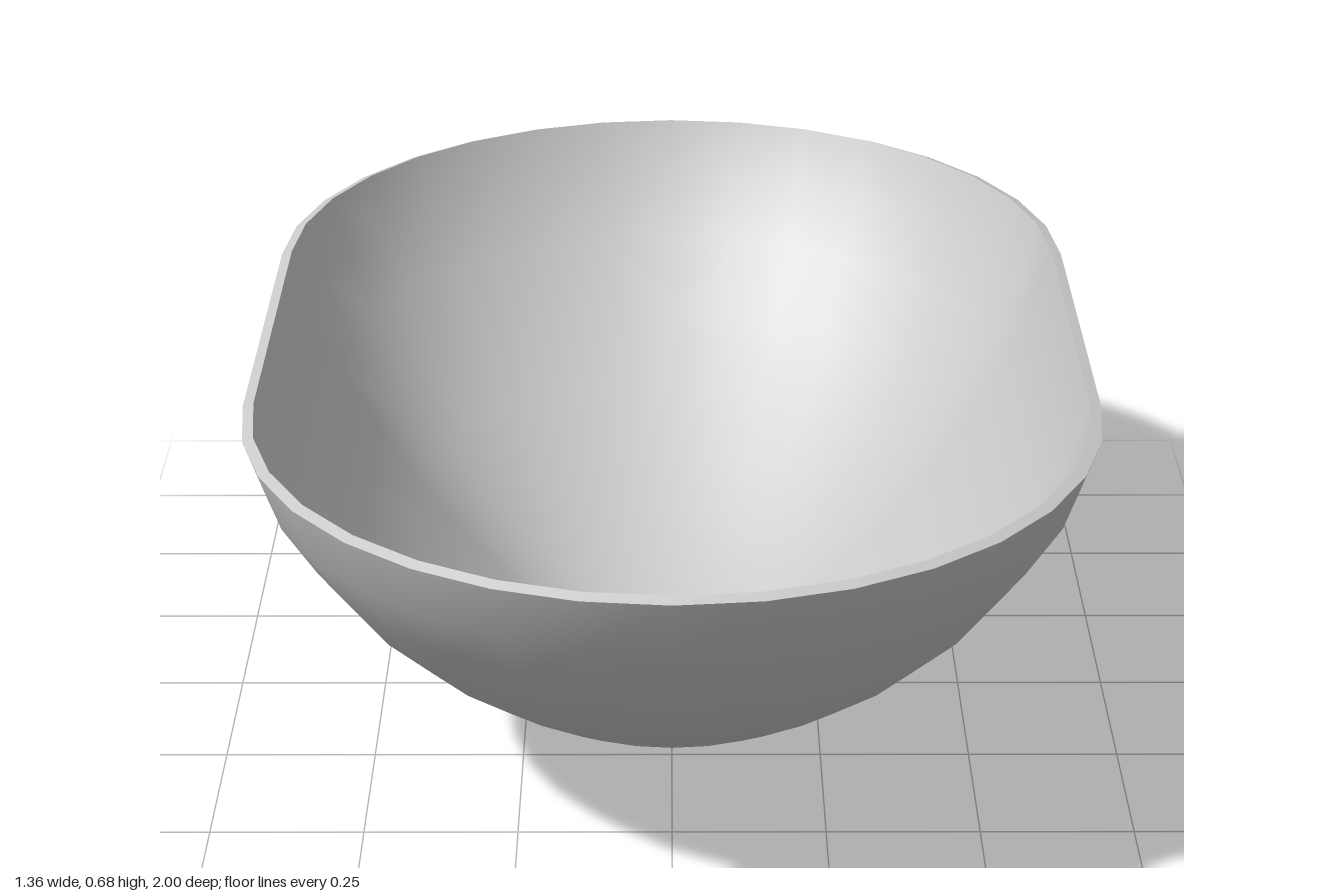
import * as THREE from 'three';

const HALF_LENGTH = 0.32;   // half of the straight side
const RADIUS = 0.68;        // round ends
const THICKNESS = 0.018;
const ARC_STEPS = 16;

// Wall profile: [scale of the outline, height]
const PROFILE = [
  [0, 0], [0.11, 0.008], [0.218, 0.03], [0.326, 0.067], [0.439, 0.122], [0.55, 0.19],
  [0.67, 0.273], [0.784, 0.37], [0.881, 0.478], [0.956, 0.576], [1, 0.677],
];

// Angles round the outline: two half circles joined by straight sides
const OUTLINE = [];
for (const end of [1, -1]) {
  for (let i = 0; i <= ARC_STEPS; i++) {
    const a = Math.PI * (i / ARC_STEPS - 0.5) + (end < 0 ? Math.PI : 0);
    OUTLINE.push({ end, sin: Math.sin(a), cos: Math.cos(a) });
  }
}

// One ring of the wall: positions and outward normals
function ring(row) {
  const [t, y] = PROFILE[row];
  const before = PROFILE[Math.max(row - 1, 0)];
  const after = PROFILE[Math.min(row + 1, PROFILE.length - 1)];
  const slope = (after[1] - before[1]) / (after[0] - before[0]);
  return OUTLINE.map(({ end, sin, cos }) => {
    const lean = (RADIUS + HALF_LENGTH * end * cos) / slope;
    const normal = row === 0
      ? new THREE.Vector3(0, -1, 0)
      : new THREE.Vector3(sin, -lean, cos).normalize();
    const point = new THREE.Vector3(RADIUS * t * sin, y, t * (HALF_LENGTH * end + RADIUS * cos));
    return { point, normal };
  });
}

// Skin a list of closed rings; normals are supplied or computed
function skin(rings, flip = false, normals = null) {
  const n = OUTLINE.length;
  const index = [];
  for (let i = 0; i < rings.length - 1; i++) {
    for (let j = 0; j < n; j++) {
      const a = i * n + j, b = i * n + (j + 1) % n, c = b + n, d = a + n;
      if (flip) index.push(a, c, b, a, d, c);
      else index.push(a, b, c, a, c, d);
    }
  }
  const geometry = new THREE.BufferGeometry().setFromPoints(rings.flat());
  geometry.setIndex(index);
  if (normals) {
    const flat = normals.flat().flatMap((v) => v.toArray());
    geometry.setAttribute('normal', new THREE.Float32BufferAttribute(flat, 3));
  } else geometry.computeVertexNormals();
  return geometry;
}

export function createModel() {
  const group = new THREE.Group();
  group.name = 'bowl';
  const material = new THREE.MeshStandardMaterial({ color: 0xcccccc });
  const add = (name, geometry) => {
    const mesh = new THREE.Mesh(geometry, material);
    mesh.name = name;
    group.add(mesh);
  };

  const rows = PROFILE.map((_, row) => ring(row));
  const outer = rows.map((r) => r.map((v) => v.point));
  const outerNormals = rows.map((r) => r.map((v) => v.normal));
  const inner = rows.map((r) => r.map((v) => v.point.clone().addScaledVector(v.normal, -THICKNESS)));
  const innerNormals = outerNormals.map((r) => r.map((v) => v.clone().negate()));

  add('outerWall', skin(outer, false, outerNormals));
  add('innerWall', skin(inner, true, innerNormals));
  // Rim joins the two walls
  add('rim', skin([outer.at(-1), inner.at(-1)]));
  return group;
}
